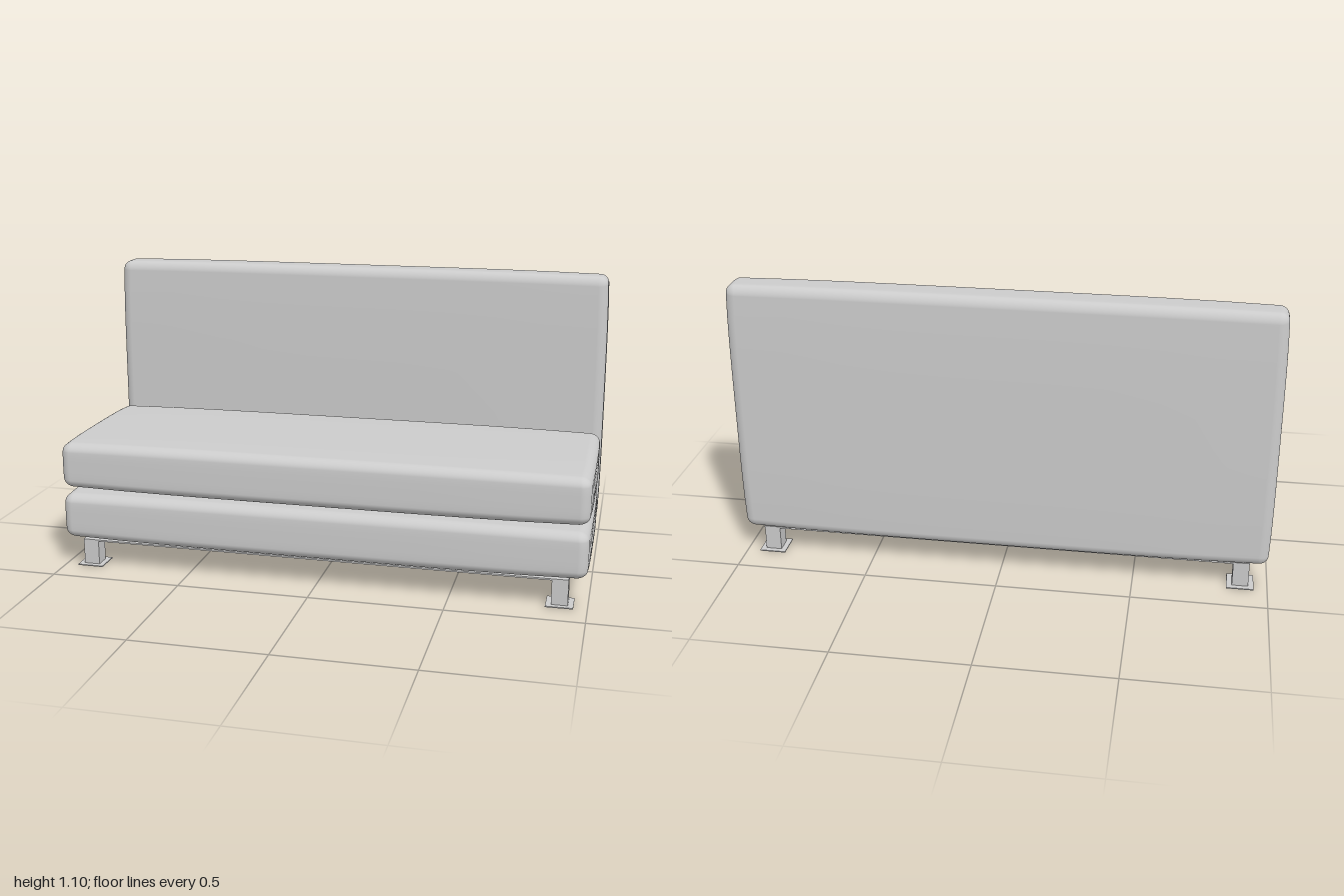
import * as THREE from 'three';
import { mergeVertices } from 'three/addons/utils/BufferGeometryUtils.js';

const grey = new THREE.MeshStandardMaterial({ color: 0xcccccc });
const SEG = 22, EDGE = 6; // divisions per side, of which EDGE round each end

// Soft padded block: rounded edges and gently bulging faces
function cushionGeometry(w, h, d, r, bulge) {
  const half = [w / 2, h / 2, d / 2];
  const geo = new THREE.BoxGeometry(2, 2, 2, SEG, SEG, SEG);
  geo.deleteAttribute('uv');
  geo.deleteAttribute('normal');
  const pos = geo.attributes.position;

  // Crowd the divisions into the rounded edge zones
  const spread = (t, size) => {
    const i = Math.round(Math.abs(t) * SEG / 2), mid = SEG / 2 - EDGE;
    const inner = size - r;
    const v = i <= mid ? inner * i / mid : inner + r * Math.tan((i - mid) / EDGE * Math.PI / 4);
    return Math.sign(t) * v;
  };

  for (let i = 0; i < pos.count; i++) {
    const p = [pos.getX(i), pos.getY(i), pos.getZ(i)].map((t, k) => spread(t, half[k]));
    const q = p.map((v, k) => THREE.MathUtils.clamp(v, r - half[k], half[k] - r));
    const n = new THREE.Vector3(...p.map((v, k) => v - q[k])).normalize().multiplyScalar(r);
    const s = [q[0] + n.x, q[1] + n.y, q[2] + n.z];
    const u = s.map((v, k) => (v / half[k]) ** 4);
    // Each face sinks slightly towards its borders
    const out = s.map((v, k) => v * (1 - bulge / half[k] * (u[(k + 1) % 3] + u[(k + 2) % 3]) / 2));
    pos.setXYZ(i, ...out);
  }
  const merged = mergeVertices(geo, 1e-5);
  merged.computeVertexNormals();
  return merged;
}

export function createModel() {
  const model = new THREE.Group();
  model.name = 'sofa';

  const add = (name, geo, x, y, z) => {
    const mesh = new THREE.Mesh(geo, grey);
    mesh.name = name;
    mesh.position.set(x, y, z);
    model.add(mesh);
  };

  // Two stacked cushions and a tall back
  const pad = cushionGeometry(2, 0.195, 0.67, 0.035, 0.012);
  add('baseCushion', pad, 0, 0.2015, 0.076);
  add('seatCushion', pad, 0, 0.4025, 0.076);
  add('backrest', cushionGeometry(2, 0.995, 0.145, 0.032, 0.012), 0, 0.6025, -0.338);

  // Thin plate under the cushions
  add('underPlate', new THREE.BoxGeometry(1.86, 0.006, 0.74), 0, 0.1, 0);

  // Square legs on thin foot plates
  const leg = new THREE.BoxGeometry(0.06, 0.098, 0.06);
  const foot = new THREE.BoxGeometry(0.1, 0.004, 0.1);
  for (const [side, x] of [['Left', 0.9], ['Right', -0.9]]) {
    for (const [end, z] of [['front', 0.338], ['back', -0.337]]) {
      add(`${end}${side}Leg`, leg, x, 0.051, z);
      add(`${end}${side}Foot`, foot, x, 0.002, z);
    }
  }
  return model;
}
